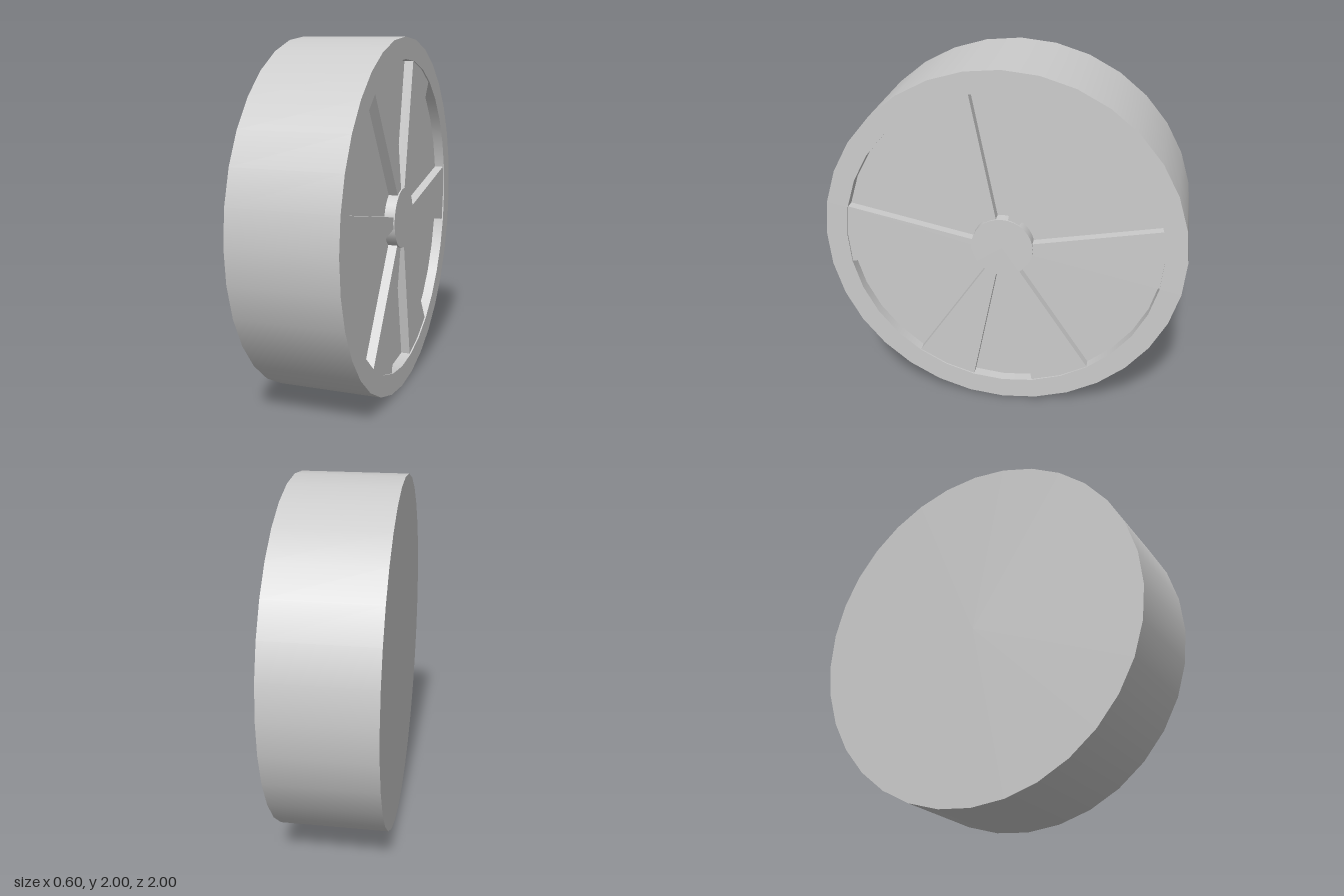
import * as THREE from 'three';
import { mergeGeometries } from 'three/addons/utils/BufferGeometryUtils.js';

const SIDES = 32;
const STEP = (Math.PI * 2) / SIDES;
const HALF = 0.3;    // half the wheel width
const FLOOR = 0.24;  // depth level of the pockets
const SPOKE = 0.292; // spokes sit just below the rim and hub
const RIM_R = 0.88;
const HUB_R = 0.17;

// Lathe each profile segment separately, so corners between them stay sharp
function sharpLathe(profile) {
  const bands = [];
  for (let i = 0; i < profile.length - 1; i++) {
    const pair = [profile[i], profile[i + 1]].map(([r, h]) => new THREE.Vector2(r, h));
    bands.push(new THREE.LatheGeometry(pair, SIDES));
  }
  return mergeGeometries(bands).rotateZ(-Math.PI / 2);
}

// Tapering spoke: a sector two facets wide between hub and rim
function spokeGeometry(step) {
  const at = (r, s) => new THREE.Vector2(r * Math.cos(s * STEP), r * Math.sin(s * STEP));
  const shape = new THREE.Shape([
    at(HUB_R, step - 1), at(RIM_R, step - 1), at(RIM_R, step),
    at(RIM_R, step + 1), at(HUB_R, step + 1), at(HUB_R, step),
  ]);
  const geometry = new THREE.ExtrudeGeometry(shape, { depth: SPOKE - FLOOR, bevelEnabled: false });
  return geometry.translate(0, 0, FLOOR).rotateY(Math.PI / 2);
}

export function createModel() {
  const wheel = new THREE.Group();
  wheel.name = 'wheel';
  const material = new THREE.MeshStandardMaterial({ color: 0xcccccc });
  const add = (name, geometry) => {
    const mesh = new THREE.Mesh(geometry, material);
    mesh.name = name;
    mesh.position.y = 1;
    wheel.add(mesh);
  };

  // Plain back, tread, raised rim and pocket floor
  add('tyre', sharpLathe([
    [0, -HALF], [1, -HALF], [1, HALF], [RIM_R, HALF], [RIM_R, FLOOR], [HUB_R, FLOOR],
  ]));

  // Round centre cap
  add('hub', sharpLathe([[HUB_R, FLOOR], [HUB_R, HALF], [0, HALF]]));

  // Two level spokes and four diagonal ones, given in facet steps
  [0, 6, 10, 16, 22, 26].forEach((step) => add('spoke', spokeGeometry(step)));

  return wheel;
}
